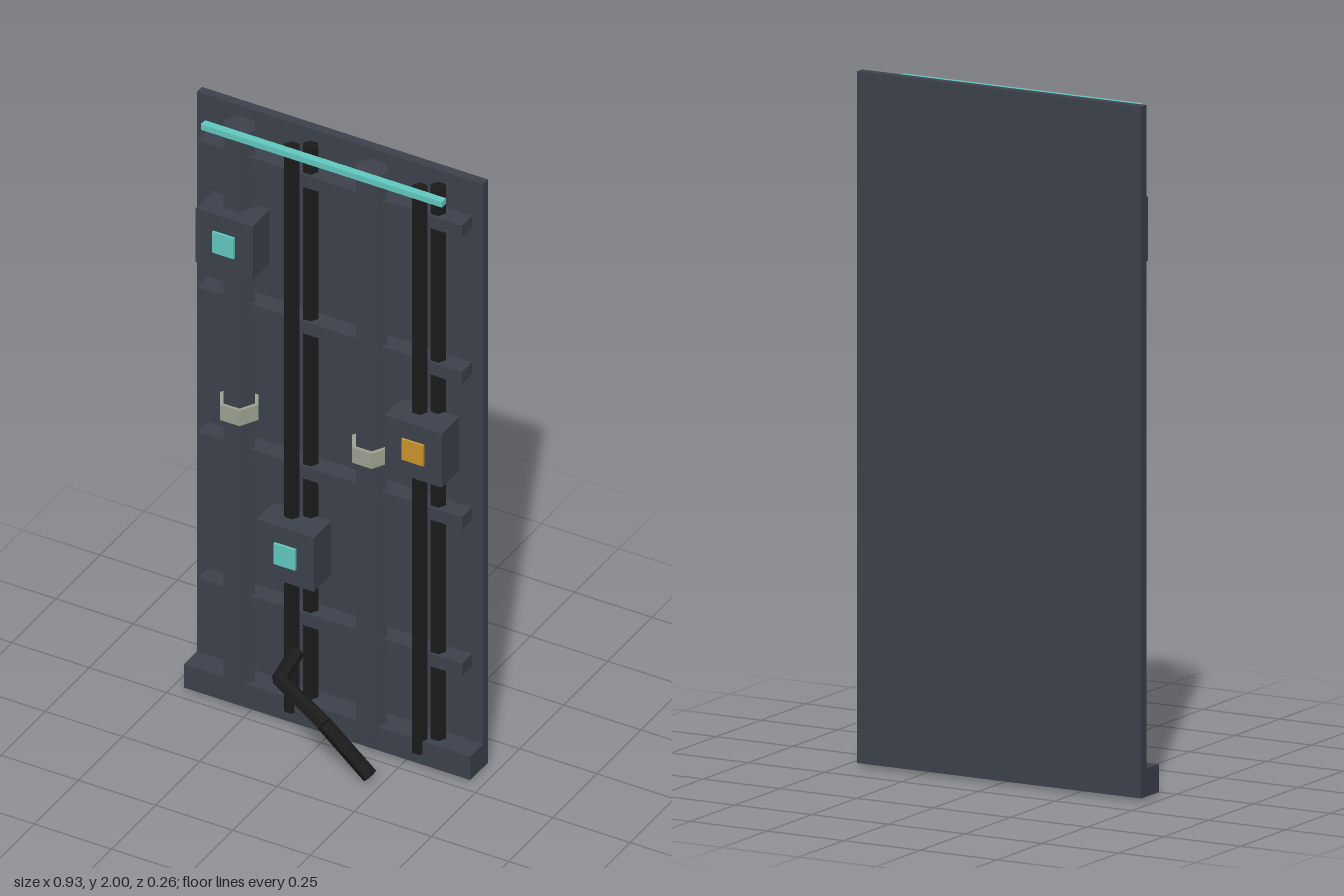
import * as THREE from 'three';

export function createModel() {
  const model = new THREE.Group();
  model.name = 'wallConduitPanel';

  const material = (name, color) => {
    const m = new THREE.MeshStandardMaterial({ color, flatShading: true });
    m.name = name;
    return m;
  };
  const slate = material('slate metal', 0x3d424d);
  const black = material('black rubber', 0x1b1b1b);
  const teal = material('teal light', 0x62cac0);
  const amber = material('amber light', 0xcc952f);
  const pale = material('pale band', 0x9da292);

  const add = (name, geometry, mat, x, y, z) => {
    const mesh = new THREE.Mesh(geometry, mat);
    mesh.name = name;
    mesh.position.set(x, y, z);
    model.add(mesh);
    return mesh;
  };
  // Box given by its lower and upper corners
  const box = (name, mat, [x0, y0, z0], [x1, y1, z1]) =>
    add(name, new THREE.BoxGeometry(x1 - x0, y1 - y0, z1 - z0), mat,
      (x0 + x1) / 2, (y0 + y1) / 2, (z0 + z1) / 2);
  // Vertical six-sided prism with corners pointing along x
  const hex = (name, mat, r, x, z, y0, y1) =>
    add(name, new THREE.CylinderGeometry(r, r, y1 - y0, 6).rotateY(Math.PI / 6), mat,
      x, (y0 + y1) / 2, z);

  // Back panel and foot ledge
  box('backPanel', slate, [-0.463, 0.01, -0.135], [0.463, 2, -0.107]);
  box('footLedge', slate, [-0.463, 0.01, -0.108], [0.463, 0.09, -0.035]);

  // Horizontal brackets behind the pipes
  for (const y of [0.365, 0.865, 1.36, 1.86])
    box('bracket', slate, [-0.428, y - 0.021, -0.108], [0.428, y + 0.021, -0.049]);

  // Thick pipes, each with a pale marker band
  for (const x of [-0.301, 0.127]) {
    hex('pipe', slate, 0.051, x, -0.064, 0.045, 1.965);
    hex('pipeBand', pale, 0.063, x, -0.064, 0.983, 1.035);
  }

  // Paired thin cables
  for (const x of [-0.122, 0.291]) {
    hex('frontCable', black, 0.025, x, -0.049, 0.045, 1.965);
    hex('rearCable', black, 0.025, x + 0.043, -0.079, 0.045, 1.965);
  }

  // Junction boxes with indicator lights
  for (const [x, y, light] of [[-0.301, 1.612, teal], [-0.102, 0.617, teal], [0.312, 1.114, amber]]) {
    box('junctionBox', slate, [x - 0.092, y - 0.092, -0.075], [x + 0.092, y + 0.092, 0.022]);
    box('indicator', light, [x - 0.035, y - 0.035, 0.021], [x + 0.035, y + 0.035, 0.03]);
  }

  // Light strip across the top
  box('lightStrip', teal, [-0.39, 1.958, -0.025], [0.39, 1.977, -0.002]);

  // Loose cable hanging out in three straight segments
  const path = [[-0.102, 0.25, -0.035], [-0.102, 0.215, 0.055], [0.07, 0.155, 0.107], [0.212, 0.016, 0.094]]
    .map((p) => new THREE.Vector3(...p));
  const up = new THREE.Vector3(0, 1, 0);
  for (let i = 0; i < 3; i++) {
    const dir = path[i + 1].clone().sub(path[i]);
    const mid = path[i].clone().addScaledVector(dir, 0.5);
    const length = dir.length() + (i < 2 ? 0.012 : 0);
    const segment = add('looseCable', new THREE.CylinderGeometry(0.023, 0.023, length, 6), black, mid.x, mid.y, mid.z);
    segment.quaternion.setFromUnitVectors(up, dir.normalize());
  }

  return model;
}
